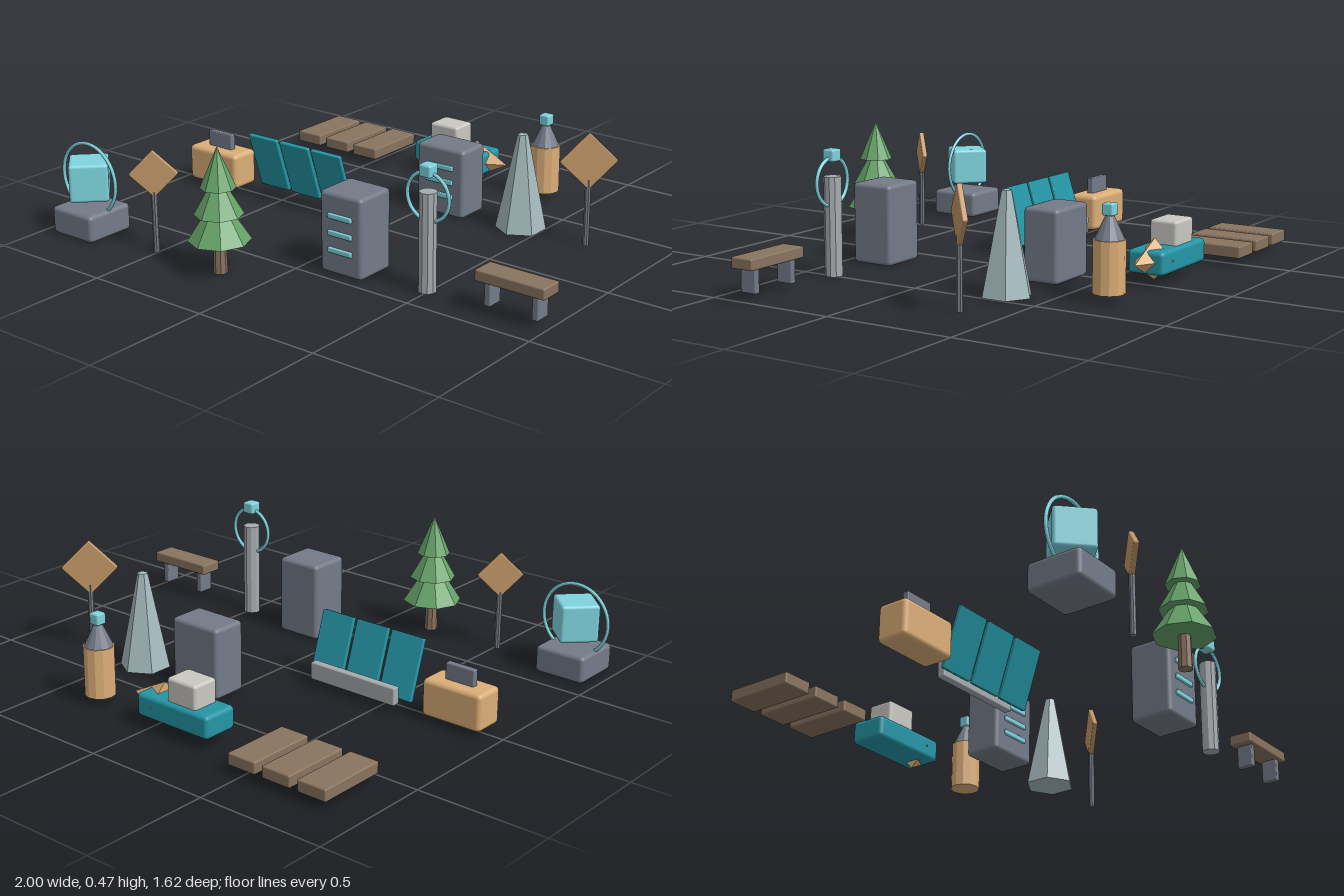
import * as THREE from 'three';
import { RoundedBoxGeometry } from 'three/addons/geometries/RoundedBoxGeometry.js';

const COLORS = {
  slate: 0x747b88, teal: 0x2496a6, cyan: 0x7ed3de, tan: 0xdcae78, wood: 0x88735f,
  sign: 0xbf9565, green: 0x66a368, pale: 0xa6bbbf, silver: 0xa5abae, white: 0xc9c8c2,
};
const materials = {};
for (const key in COLORS) {
  materials[key] = new THREE.MeshStandardMaterial({ color: COLORS[key], flatShading: true });
}
const smooth = {};
for (const key in COLORS) smooth[key] = new THREE.MeshStandardMaterial({ color: COLORS[key] });

function add(parent, name, geometry, material, x, y, z) {
  const mesh = new THREE.Mesh(geometry, material);
  mesh.name = name;
  mesh.position.set(x, y, z);
  parent.add(mesh);
  return mesh;
}

function place(parent, name, x, z) {
  const group = new THREE.Group();
  group.name = name;
  group.position.set(x, 0, z);
  parent.add(group);
  return group;
}

// Box sitting on height y, rounded when r > 0
function block(parent, name, color, [w, h, d], [x, y, z], r = 0.012) {
  const geometry = r > 0 ? new RoundedBoxGeometry(w, h, d, 2, r) : new THREE.BoxGeometry(w, h, d);
  return add(parent, name, geometry, r > 0 ? smooth[color] : materials[color], x, y + h / 2, z);
}

// Tapered upright column from height y
function column(parent, name, color, rTop, rBottom, h, sides, y) {
  return add(parent, name, new THREE.CylinderGeometry(rTop, rBottom, h, sides), materials[color], 0, y + h / 2, 0);
}

function ring(parent, radius, y) {
  return add(parent, 'ring', new THREE.TorusGeometry(radius, 0.007, 8, 40), smooth.cyan, 0, y, 0);
}

// Cabinet with three raised vents on its front
function cabinet(parent, x, z, w, h, d) {
  const g = place(parent, 'cabinet', x, z);
  block(g, 'cabinetBody', 'slate', [w, h, d], [0, 0, 0], 0.016);
  for (const f of [0.3, 0.51, 0.72]) {
    block(g, 'vent', 'cyan', [w * 0.56, 0.02, 0.02], [0, h * f - 0.01, d / 2], 0.004);
  }
}

// Diamond sign turned to face the front left corner
function signpost(parent, x, z, centerY, side) {
  const g = place(parent, 'signpost', x, z);
  g.rotation.y = Math.PI / 4;
  column(g, 'signPole', 'slate', 0.012, 0.012, centerY - 0.07, 8, 0);
  const panel = block(g, 'signPanel', 'sign', [side, side, 0.02], [0, centerY - side / 2, 0], 0.005);
  panel.rotation.z = Math.PI / 4;
}

export function createModel() {
  const model = new THREE.Group();
  model.name = 'propCollection';

  // Three planks
  const planks = place(model, 'planks', -0.66, -0.677);
  for (const i of [-1, 0, 1]) block(planks, 'plank', 'wood', [0.12, 0.046, 0.277], [i * 0.15, 0.032, 0], 0.006);

  // Pointed craft
  const craft = place(model, 'craft', -0.128, -0.677);
  block(craft, 'hull', 'teal', [0.336, 0.088, 0.145], [0, 0.045, 0], 0.016);
  block(craft, 'cabin', 'white', [0.135, 0.1, 0.11], [-0.032, 0.122, 0]);
  const nose = add(craft, 'nose', new THREE.ConeGeometry(0.077, 0.15, 4), materials.tan, 0.172, 0.092, 0);
  nose.rotation.z = -Math.PI / 2;

  // Canister with conical cap
  const canister = place(model, 'canister', 0.3, -0.677);
  column(canister, 'canisterBody', 'tan', 0.058, 0.058, 0.19, 12, 0.03);
  column(canister, 'canisterCap', 'slate', 0.014, 0.053, 0.085, 12, 0.22);
  block(canister, 'canisterKnob', 'cyan', [0.043, 0.043, 0.043], [0, 0.302, 0], 0.006);

  // Cabinets
  cabinet(model, 0.085, -0.333, 0.22, 0.275, 0.145);
  cabinet(model, 0.172, 0.37, 0.188, 0.308, 0.172);

  // Six-sided obelisk
  const obelisk = place(model, 'obelisk', 0.415, -0.333);
  column(obelisk, 'obeliskBody', 'pale', 0.02, 0.097, 0.375, 6, 0);

  // Signs
  signpost(model, 0.705, -0.333, 0.33, 0.155);
  signpost(model, -0.51, 0.69, 0.304, 0.128);

  // Bench
  const bench = place(model, 'bench', 0.86, 0.37);
  block(bench, 'seat', 'wood', [0.28, 0.042, 0.094], [0, 0.113, 0], 0.006);
  for (const side of [-1, 1]) block(bench, 'benchLeg', 'slate', [0.025, 0.093, 0.065], [side * 0.096, 0.025, 0], 0.004);

  // Pillar with ring and cube
  const pillar = place(model, 'pillar', 0.493, 0.372);
  column(pillar, 'pillarShaft', 'silver', 0.033, 0.033, 0.37, 10, 0);
  ring(pillar, 0.089, 0.35);
  block(pillar, 'pillarCube', 'cyan', [0.05, 0.046, 0.05], [0, 0.425, 0], 0.008);

  // Chest with a handle block
  const chest = place(model, 'chest', -0.81, 0.007);
  block(chest, 'chestBody', 'tan', [0.25, 0.143, 0.125], [0, 0.02, 0], 0.018);
  block(chest, 'chestHandle', 'slate', [0.12, 0.075, 0.026], [0, 0.15, 0], 0.004);

  // Tilted panels on a rail
  const panels = place(model, 'panelArray', -0.393, 0.008);
  for (const i of [-1, 0, 1]) {
    const panel = block(panels, 'panel', 'teal', [0.144, 0.236, 0.018], [i * 0.159, 0.035, 0], 0.004);
    panel.rotation.x = 0.31;
  }
  block(panels, 'panelRail', 'silver', [0.385, 0.068, 0.032], [0, 0.033, -0.076], 0.005);

  // Pedestal with a hovering cube inside a ring
  const pedestal = place(model, 'pedestal', -0.853, 0.69);
  block(pedestal, 'pedestalBase', 'slate', [0.208, 0.106, 0.208], [0, 0, 0], 0.016);
  const cube = block(pedestal, 'hoveringCube', 'cyan', [0.148, 0.148, 0.148], [0, 0.138, 0], 0.012);
  cube.rotation.y = Math.PI / 4;
  ring(pedestal, 0.139, 0.208);

  // Conifer
  const tree = place(model, 'tree', -0.19, 0.69);
  column(tree, 'trunk', 'wood', 0.022, 0.026, 0.16, 8, 0);
  for (const [y, r, h] of [[0.125, 0.115, 0.18], [0.223, 0.09, 0.16], [0.322, 0.065, 0.153]]) {
    column(tree, 'foliage', 'green', 0, r, h, 8, y);
  }

  return model;
}
